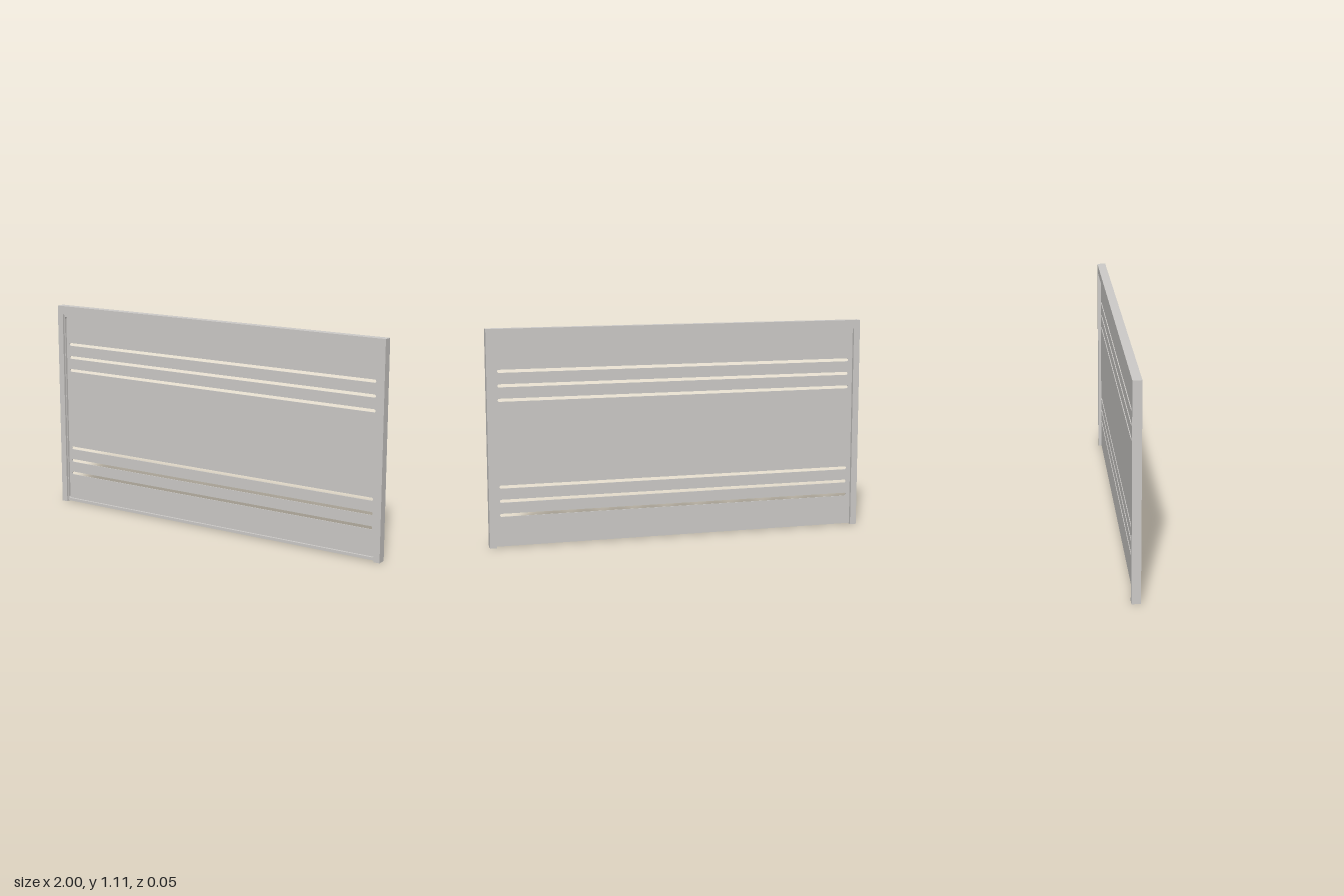
import * as THREE from 'three';

export function createModel() {
  const group = new THREE.Group();
  const steel = new THREE.MeshStandardMaterial({ color: 0xcdcbc8 });
  steel.name = 'light warm grey metal';

  const H = 1.112, DEPTH = 0.045;
  const INNER_X = 0.966, INNER_TOP = 1.067; // frame opening
  const PANEL_BOTTOM = 0.004;

  function extrude(name, shape, depth, z) {
    const geo = new THREE.ExtrudeGeometry(shape, { depth, bevelEnabled: false, curveSegments: 6 });
    const mesh = new THREE.Mesh(geo, steel);
    mesh.name = name;
    mesh.position.z = z;
    group.add(mesh);
  }

  function polygon(points) {
    return new THREE.Shape(points.map(([x, y]) => new THREE.Vector2(x, y)));
  }

  // Rounded rectangle centred on x = 0
  function roundedRect(halfWidth, bottom, top, r) {
    const path = new THREE.Path();
    const x = halfWidth - r, q = Math.PI / 2;
    path.absarc(x, bottom + r, r, -q, 0, false);
    path.absarc(x, top - r, r, 0, q, false);
    path.absarc(-x, top - r, r, q, 2 * q, false);
    path.absarc(-x, bottom + r, r, 2 * q, 3 * q, false);
    path.closePath();
    return path;
  }

  function panelOutline() {
    return polygon([
      [-INNER_X, PANEL_BOTTOM], [INNER_X, PANEL_BOTTOM],
      [INNER_X, INNER_TOP], [-INNER_X, INNER_TOP],
    ]);
  }

  // Frame: two stiles and a top rail, open at the bottom
  extrude('frame', polygon([
    [-1, 0], [-INNER_X, 0], [-INNER_X, INNER_TOP], [INNER_X, INNER_TOP],
    [INNER_X, 0], [1, 0], [1, H], [-1, H],
  ]), DEPTH, -DEPTH / 2);

  // Thin panel with six round-ended slots
  const panel = panelOutline();
  const r = 0.008;
  for (const first of [0.165, 0.753]) {
    for (let i = 0; i < 3; i++) {
      const y = first + i * 0.0728;
      panel.holes.push(roundedRect(0.943, y - r, y + r, r));
    }
  }
  extrude('slottedPanel', panel, 0.004, -0.006);

  // Folded rim standing forward of the panel on all four sides
  const rim = panelOutline();
  rim.holes.push(roundedRect(0.962, 0.019, 1.051, 0.011));
  extrude('panelRim', rim, 0.012, -0.002);

  return group;
}
